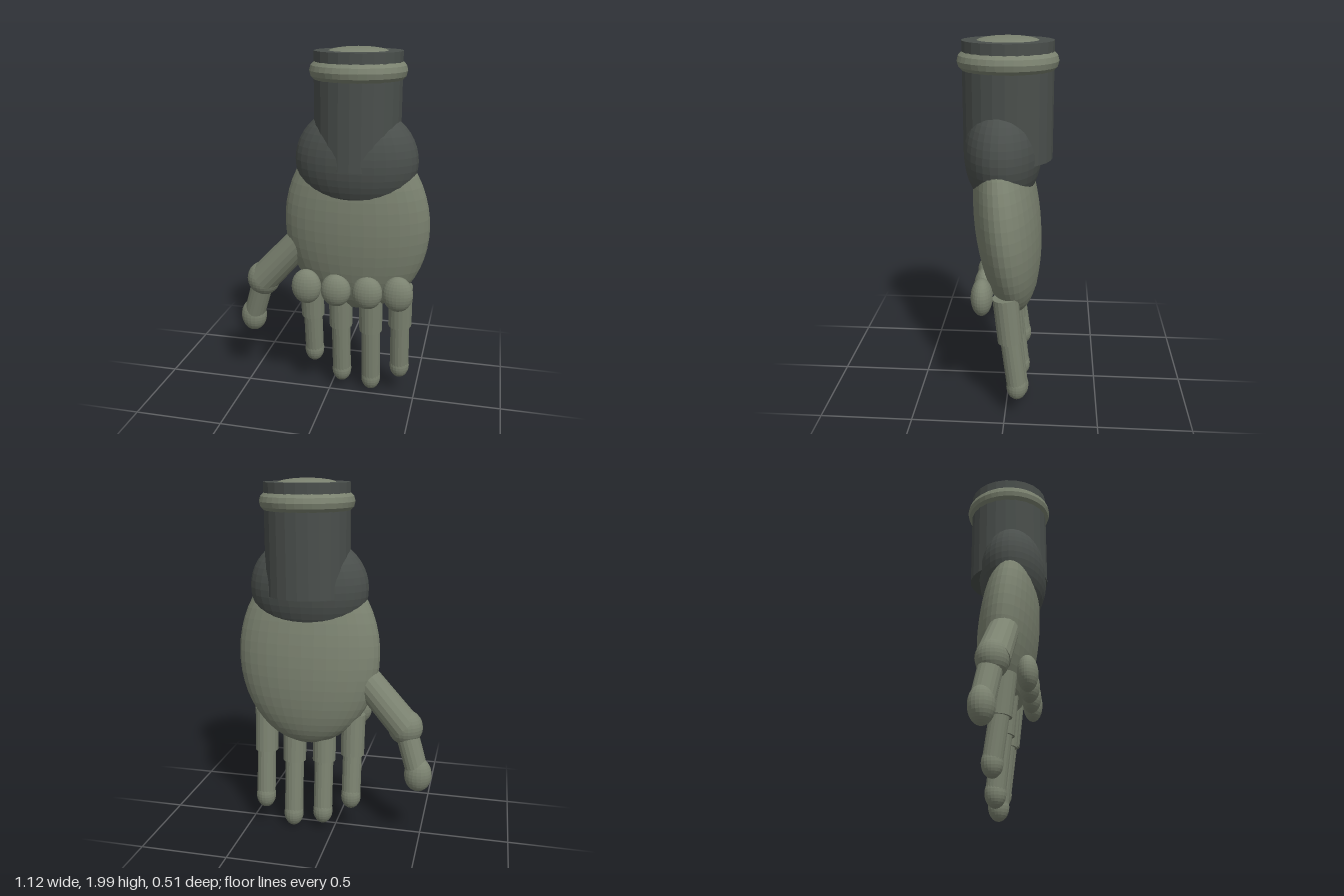
import * as THREE from 'three';

export function createModel() {
  const group = new THREE.Group();
  const sage = new THREE.MeshStandardMaterial({ color: 0x7b8270, flatShading: true });
  sage.name = 'sage grey';
  const charcoal = new THREE.MeshStandardMaterial({ color: 0x4a4f4c, flatShading: true });
  charcoal.name = 'charcoal';

  const add = (name, geometry, material, x, y, z) => {
    const mesh = new THREE.Mesh(geometry, material);
    mesh.name = name;
    mesh.position.set(x, y, z);
    group.add(mesh);
    return mesh;
  };
  const ellipsoid = (name, material, [x, y, z], [rx, ry, rz], w = 24, h = 16) =>
    add(name, new THREE.SphereGeometry(1, w, h).scale(rx, ry, rz), material, x, y, z);

  // Cylinder running from point a to point b
  const up = new THREE.Vector3(0, 1, 0);
  const limb = (name, a, b, rA, rB) => {
    const start = new THREE.Vector3(...a);
    const end = new THREE.Vector3(...b);
    const dir = start.clone().sub(end);
    const mid = start.clone().add(end).multiplyScalar(0.5);
    const mesh = add(name, new THREE.CylinderGeometry(rA, rB, dir.length(), 18), sage, mid.x, mid.y, mid.z);
    mesh.quaternion.setFromUnitVectors(up, dir.normalize());
    return mesh;
  };

  // Wrist sleeve with its ring and end cap
  const cx = 0.153;
  add('sleeve', new THREE.CylinderGeometry(0.23, 0.23, 0.59, 24), charcoal, cx, 1.685, 0);
  add('sleeveRing', new THREE.TorusGeometry(0.2, 0.054, 12, 36).rotateX(Math.PI / 2), sage, cx, 1.882, 0);
  ellipsoid('sleeveCap', sage, [cx, 1.97, 0], [0.165, 0.03, 0.165], 32, 12);

  // Cuff and palm
  ellipsoid('cuff', charcoal, [cx, 1.42, 0.025], [0.33, 0.29, 0.2], 32, 24);
  const palm = ellipsoid('palm', sage, [cx, 1.055, 0], [0.402, 0.52, 0.173], 36, 26);
  palm.rotation.x = 0.1;

  // Four fingers: x, joint height, fingertip centre height
  const fingers = [
    [-0.104, 0.475, 0.235],
    [0.063, 0.425, 0.12],
    [0.239, 0.41, 0.085],
    [0.407, 0.46, 0.185],
  ];
  fingers.forEach(([x, jointY, tipY], i) => {
    const outer = i === 0 || i === 3;
    ellipsoid('knuckle', sage, [x, outer ? 0.708 : 0.7, 0.119], [0.084, outer ? 0.1 : 0.094, 0.057]);
    const joint = [x, jointY, -0.028];
    const tip = [x, tipY, -0.064];
    limb('fingerBase', [x, 0.71, -0.003], joint, 0.068, 0.066);
    limb('fingerEnd', [x, jointY + 0.04, -0.025], tip, 0.054, 0.054);
    ellipsoid('fingerTip', sage, tip, [0.057, 0.077, 0.057], 18, 14);
  });

  // Thumb
  const thumbJoint = [-0.403, 0.67, -0.035];
  const thumbTip = [-0.485, 0.41, -0.075];
  limb('thumbBase', [-0.13, 0.97, 0.0], thumbJoint, 0.083, 0.09);
  ellipsoid('thumbJoint', sage, thumbJoint, [0.097, 0.1, 0.085]);
  limb('thumbEnd', thumbJoint, thumbTip, 0.064, 0.062);
  ellipsoid('thumbTip', sage, thumbTip, [0.077, 0.098, 0.067], 20, 16);

  return group;
}
